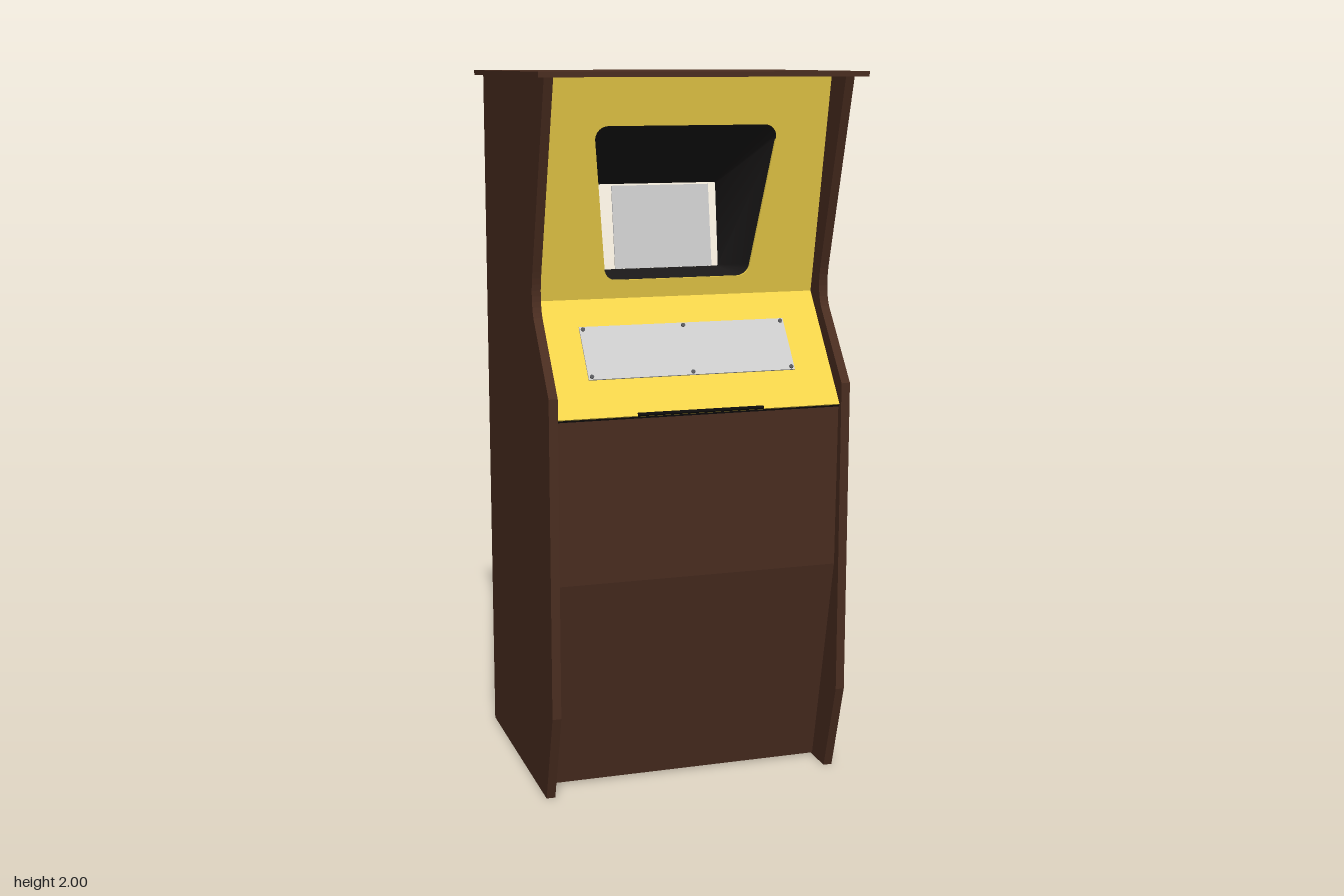
import * as THREE from 'three';
import { toCreasedNormals } from 'three/addons/utils/BufferGeometryUtils.js';

const paint = (color) => new THREE.MeshStandardMaterial({ color, side: THREE.DoubleSide });
const brown = paint(0x4a2d20), yellow = paint(0xf2d34a), black = paint(0x1c1a1a);
const grey = paint(0xcccccc), steel = paint(0x55565a), dark = paint(0x0c0a0a);

const HALF = 0.405; // inner half width of the cabinet
const bezelZ = (y) => 0.125 + (y - 1.38) * 0.215; // slope of the upper front panel

function add(parent, name, geometry, material, x = 0, y = 0, z = 0) {
  const mesh = new THREE.Mesh(geometry, material);
  mesh.name = name;
  mesh.position.set(x, y, z);
  parent.add(mesh);
  return mesh;
}

// Flat board whose front face runs between two (z, y) points
function board(parent, name, material, [z0, y0], [z1, y1], width, thick) {
  const angle = Math.atan2(z1 - z0, y1 - y0);
  const length = Math.hypot(z1 - z0, y1 - y0);
  const group = new THREE.Group();
  group.name = name;
  group.position.set(0, (y0 + y1) / 2, (z0 + z1) / 2);
  group.rotation.x = angle;
  add(group, name + 'Board', new THREE.BoxGeometry(width, length, thick), material, 0, 0, -thick / 2);
  parent.add(group);
  return group;
}

// Rounded trapezoid outline as a loop of points
function outline(wTop, wBottom, y0, y1, r, steps = 6) {
  const corners = [[wTop, y1, -1, -1, 0], [-wTop, y1, 1, -1, 1], [-wBottom, y0, 1, 1, 2], [wBottom, y0, -1, 1, 3]];
  const points = [];
  for (const [x, y, sx, sy, quarter] of corners) {
    for (let i = 0; i <= steps; i++) {
      const a = (quarter + i / steps) * Math.PI / 2;
      points.push(new THREE.Vector2(x + sx * r + Math.cos(a) * r, y + sy * r + Math.sin(a) * r));
    }
  }
  return points;
}

// Open funnel between two matching outlines
function funnel(front, back, backZ) {
  const positions = [], index = [], n = front.length;
  front.forEach((p) => positions.push(p.x, p.y, bezelZ(p.y)));
  back.forEach((p) => positions.push(p.x, p.y, backZ(p.y)));
  for (let i = 0; i < n; i++) {
    const j = (i + 1) % n;
    index.push(i, i + n, j, j, i + n, j + n);
  }
  const geometry = new THREE.BufferGeometry();
  geometry.setAttribute('position', new THREE.Float32BufferAttribute(positions, 3));
  geometry.setIndex(index);
  return toCreasedNormals(geometry, 0.6);
}

export function createModel() {
  const model = new THREE.Group();
  model.name = 'arcadeCabinet';

  // Side panels, drawn in (z, y) and turned to face sideways
  const profile = new THREE.Shape();
  profile.moveTo(-0.39, 0);
  profile.lineTo(0.285, 0);
  profile.lineTo(0.365, 0.26);
  profile.lineTo(0.365, 1.15);
  profile.lineTo(0.205, 1.345);
  profile.bezierCurveTo(0.185, 1.38, 0.185, 1.42, 0.2, 1.47);
  profile.lineTo(0.357, 1.99);
  profile.lineTo(-0.39, 1.99);
  profile.closePath();
  const side = new THREE.ExtrudeGeometry(profile, { depth: 0.025, bevelEnabled: false, curveSegments: 8 });
  side.rotateY(-Math.PI / 2); // shape x becomes +z, depth becomes -x
  add(model, 'leftSide', side, brown, HALF + 0.025);
  add(model, 'rightSide', side, brown, -HALF);

  // Roof
  add(model, 'roof', new THREE.BoxGeometry(0.91, 0.014, 0.796), brown, 0, 1.993, 0);

  // Lower front boards
  board(model, 'kickPanel', brown, [0.195, 0.005], [0.335, 0.625], HALF * 2, 0.01);
  board(model, 'frontPanel', brown, [0.335, 0.625], [0.345, 1.085], HALF * 2, 0.01);
  add(model, 'ledge', new THREE.BoxGeometry(HALF * 2, 0.008, 0.02), dark, 0, 1.086, 0.339);

  // Sloping control panel with plate, screws and hinge
  const control = board(model, 'controlPanel', yellow, [0.353, 1.09], [0.125, 1.38], HALF * 2, 0.008);
  add(control, 'controlPlate', new THREE.BoxGeometry(0.595, 0.165, 0.004), grey, 0, 0.013, 0.002);
  const screw = new THREE.CylinderGeometry(0.006, 0.006, 0.004, 10).rotateX(Math.PI / 2);
  for (const x of [-0.288, 0, 0.288]) {
    for (const y of [-0.061, 0.087]) add(control, 'plateScrew', screw, steel, x, y, 0.005);
  }
  add(control, 'hinge', new THREE.BoxGeometry(0.36, 0.008, 0.006), dark, 0, -0.181, 0.001);

  // Upper front panel with the screen opening, sheared to its slope
  const opening = outline(0.258, 0.213, 1.432, 1.856, 0.035);
  const face = new THREE.Shape([
    new THREE.Vector2(-HALF, 1.38), new THREE.Vector2(HALF, 1.38),
    new THREE.Vector2(HALF, 1.987), new THREE.Vector2(-HALF, 1.987),
  ]);
  face.holes.push(new THREE.Path(opening));
  const bezel = new THREE.ExtrudeGeometry(face, { depth: 0.008, bevelEnabled: false });
  const pos = bezel.attributes.position;
  for (let i = 0; i < pos.count; i++) pos.setZ(i, pos.getZ(i) - 0.008 + bezelZ(pos.getY(i)));
  bezel.computeVertexNormals();
  add(model, 'screenBezel', bezel, yellow);

  // Dark shroud leading back to an open end
  const rear = outline(0.215, 0.215, 1.43, 1.675, 0.004);
  add(model, 'screenShroud', funnel(opening, rear, (y) => -0.14 - (y - 1.43) * 0.12), black);

  // Screen leaning back inside the shroud
  board(model, 'screen', grey, [0.01, 1.448], [-0.026, 1.68], 0.288, 0.004);

  return model;
}
